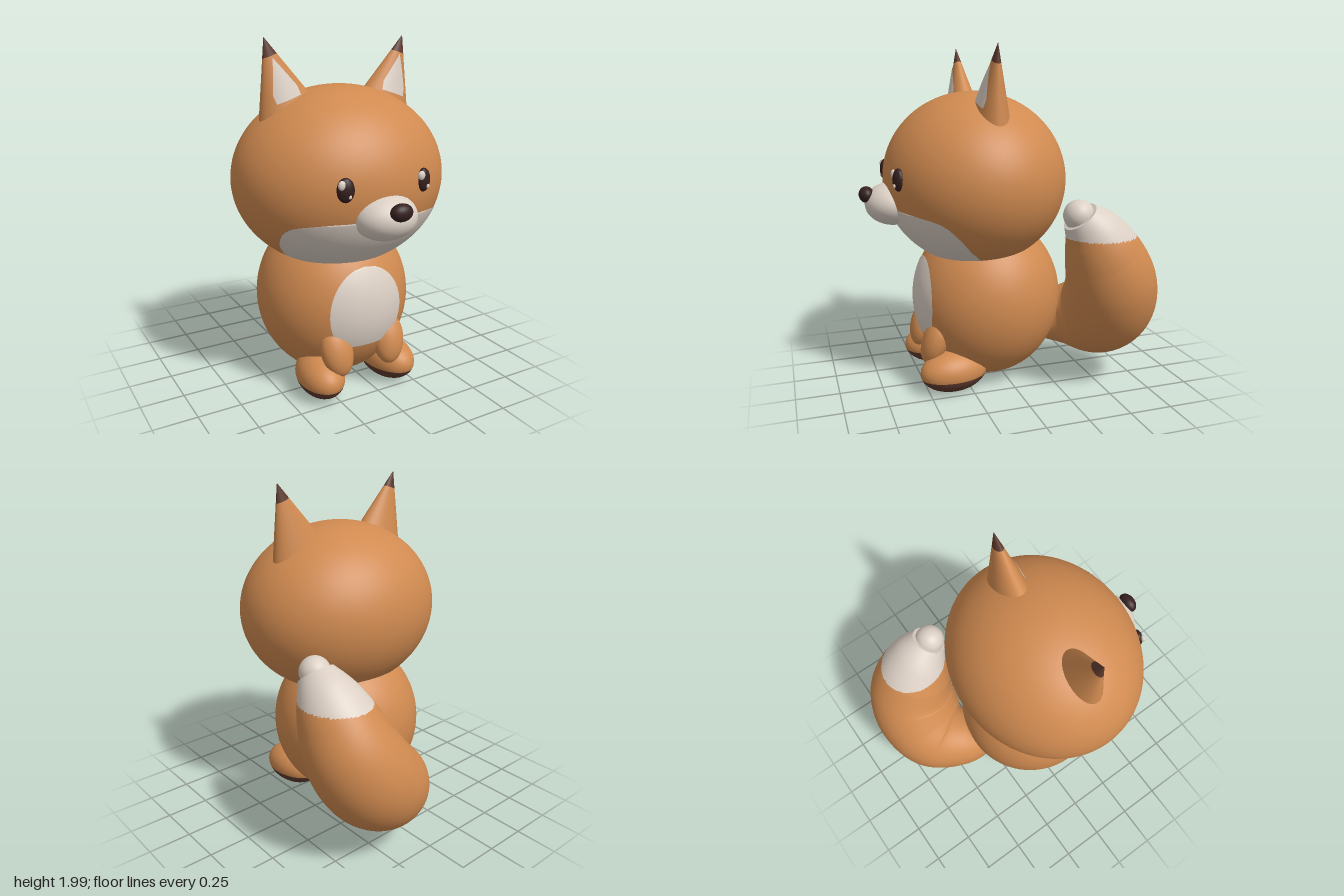
import * as THREE from 'three';
import { mergeVertices } from 'three/addons/utils/BufferGeometryUtils.js';

const V = (x, y, z) => new THREE.Vector3(x, y, z);
const MID = -0.075; // symmetry line of head and body

function makeMaterial(name, color) {
  const m = new THREE.MeshStandardMaterial({ color });
  m.name = name;
  return m;
}

// Rows of points across a front-facing surface: v runs upwards, half width w(v), depth z(x, v)
function patch(v0, v1, rows, cols, w, z) {
  const pos = [], idx = [];
  for (let i = 0; i <= rows; i++) {
    const v = v0 + (v1 - v0) * i / rows;
    for (let j = 0; j <= cols; j++) {
      const x = w(v) * (2 * j / cols - 1);
      pos.push(x, v, z(x, v));
      if (i < rows && j < cols) {
        const a = i * (cols + 1) + j, b = a + cols + 1;
        idx.push(a, a + 1, b, a + 1, b + 1, b);
      }
    }
  }
  const g = new THREE.BufferGeometry();
  g.setAttribute('position', new THREE.Float32BufferAttribute(pos, 3));
  g.setIndex(idx);
  g.computeVertexNormals();
  return g;
}

// Front surface of an ellipsoid centred on the origin
const shell = (rx, ry, rz) => (x, y) =>
  rz * Math.sqrt(Math.max(0, 1 - (x / rx) ** 2 - (y / ry) ** 2)) + 0.004;

export function createModel() {
  const fox = new THREE.Group();
  fox.name = 'fox';
  const orange = makeMaterial('orange fur', 0xd08a50);
  const cream = makeMaterial('cream fur', 0xdcd0c5);
  const brown = makeMaterial('dark brown', 0x5e3a2e);
  const black = makeMaterial('eye and nose', 0x35201f);

  function add(name, geo, mat, p, parent = fox) {
    const m = new THREE.Mesh(geo, mat);
    m.name = name;
    m.position.copy(p);
    parent.add(m);
    return m;
  }
  function ball(name, mat, p, r, parent = fox, seg = 32, t0 = 0, t1 = Math.PI) {
    const g = new THREE.SphereGeometry(1, seg, Math.round(seg * 0.75), 0, Math.PI * 2, t0, t1);
    g.scale(r[0], r[1], r[2]);
    return add(name, g, mat, p, parent);
  }

  // Body and head
  const bodyAt = V(MID, 0.51, 0.08), bodyR = [0.452, 0.492, 0.45];
  const headAt = V(MID, 1.235, 0.155), headR = [0.616, 0.51, 0.535];
  ball('body', orange, bodyAt, bodyR, fox, 80);
  ball('head', orange, headAt, headR, fox, 80);

  // Belly patch: oval with a flat lower edge
  add('belly', patch(-0.19, 0.265, 40, 32,
    (y) => 0.228 * Math.sqrt(Math.max(0, 1 - ((y - 0.005) / 0.26) ** 2)),
    shell(...bodyR)), cream, bodyAt);

  // Cheek mask: wide band with rounded upper corners
  const cheek = new THREE.SplineCurve([[0.26, 0.74], [0.335, 0.81], [0.388, 0.85], [0.432, 0.9],
    [0.462, 0.95], [0.474, 1.0], [0.468, 1.04], [0.43, 1.07], [0.32, 1.089], [0.15, 1.096]]
    .map(([x, y]) => new THREE.Vector2(x, y - headAt.y))).getPoints(120);
  const cheekWidth = (y) => {
    const k = cheek.findIndex((p) => p.y >= y);
    return cheek[k < 0 ? cheek.length - 1 : k].x;
  };
  add('cheeks', patch(0.74 - headAt.y, 1.096 - headAt.y, 60, 48, cheekWidth, shell(...headR)), cream, headAt);

  // Muzzle and nose
  ball('muzzle', cream, V(MID, 1.108, 0.64), [0.178, 0.125, 0.163]);
  ball('nose', black, V(MID, 1.165, 0.792), [0.063, 0.047, 0.043]);

  for (const s of [-1, 1]) {
    const side = s < 0 ? 'right' : 'left';

    // Eye with two highlights
    const ex = MID + s * 0.236;
    const eye = ball(side + 'Eye', black, V(ex, 1.275, 0.645), [0.046, 0.064, 0.03]);
    eye.rotation.y = s * 0.3;
    ball(side + 'EyeHighlight', cream, V(ex - 0.028, 1.305, s < 0 ? 0.658 : 0.668), [0.021, 0.025, 0.014], fox, 16);
    ball(side + 'EyeGlint', cream, V(ex + 0.012, 1.245, 0.67), [0.01, 0.012, 0.008], fox, 12);

    // Ear: flattened cone, apex at the group origin, leaning outwards
    const ear = new THREE.Group();
    ear.name = side + 'Ear';
    ear.position.set(MID + s * 0.432, 2, 0.14);
    ear.rotation.z = -s * 0.32;
    fox.add(ear);
    const wide = 0.42, deep = 0.24;
    const slice = (name, a, b, mat) => {
      const g = new THREE.CylinderGeometry(a, b, b - a, 48, 1, true);
      g.scale(wide, 1, deep);
      add(name, g, mat, V(0, -(a + b) / 2, 0), ear);
    };
    slice('earTip', 0, 0.1, brown);
    slice('earBase', 0.1, 0.5, orange);
    add('innerEar', patch(-0.335, -0.11, 24, 16,
      (y) => Math.min(0.074, (-y - 0.11) * 0.42),
      (x, y) => -y * deep * Math.sqrt(1 - (x / (y * wide)) ** 2) + 0.005), cream, V(0, 0, 0), ear);

    // Front paw resting on the belly
    const arm = ball(side + 'Arm', orange, V(MID + s * 0.172, 0.297, 0.448), [0.094, 0.146, 0.075]);
    arm.rotation.set(-0.3, 0, -s * 0.13);

    // Foot with a dark sole
    const foot = new THREE.Group();
    foot.name = side + 'Foot';
    foot.position.set(MID + s * 0.228, 0.128, 0.35);
    foot.rotation.y = s * 0.12;
    fox.add(foot);
    const cut = 1.8, footR = [0.132, 0.122, 0.202];
    ball('footTop', orange, V(0, 0, 0), footR, foot, 40, 0, cut);
    ball('sole', brown, V(0, 0, 0), footR, foot, 40, cut, Math.PI - cut);
  }

  // Tail: a tube with varying radius, sweeping back and curling upwards
  const path = [
    [-0.03, 0.33, -0.22, 0.12], [0.03, 0.35, -0.4, 0.19], [0.16, 0.395, -0.53, 0.255],
    [0.3, 0.5, -0.56, 0.275], [0.4, 0.66, -0.53, 0.265], [0.44, 0.84, -0.455, 0.225],
    [0.455, 0.97, -0.38, 0.172], [0.46, 1.07, -0.3, 0.105]];
  const curve = new THREE.CatmullRomCurve3(path.map((p) => V(p[0], p[1], p[2])));
  const radius = new THREE.CatmullRomCurve3(path.map((p) => V(p[3], 0, 0)), false, 'catmullrom');
  const N = 200, M = 64;
  let tail = new THREE.TubeGeometry(curve, N, 1, M);
  const tp = tail.attributes.position, v = V(0, 0, 0);
  for (let i = 0; i < tp.count; i++) {
    const u = Math.floor(i / (M + 1)) / N, c = curve.getPointAt(u);
    const r = radius.getPoint(curve.getUtoTmapping(u)).x;
    v.fromBufferAttribute(tp, i).sub(c).multiplyScalar(r).add(c);
    tp.setXYZ(i, v.x, v.y, v.z);
  }
  tail.deleteAttribute('uv');
  tail.deleteAttribute('normal');
  tail = mergeVertices(tail, 1e-5);
  tail.computeVertexNormals();

  // Faces above the colour line become the cream tail end
  const ix = tail.index.array, low = [], high = [];
  for (let i = 0; i < ix.length; i += 3) {
    const f = [ix[i], ix[i + 1], ix[i + 2]];
    const y = f.reduce((sum, k) => sum + tail.attributes.position.getY(k), 0) / 3;
    (y > 0.95 ? high : low).push(...f);
  }
  tail.setIndex([...low, ...high]);
  tail.addGroup(0, low.length, 0);
  tail.addGroup(low.length, high.length, 1);
  add('tail', tail, [orange, cream], V(0, 0, 0));

  // Closed tail end and its round tip
  const end = curve.getPointAt(1);
  const cap = add('tailEnd', new THREE.CircleGeometry(0.105, M), cream, end);
  cap.lookAt(end.clone().add(curve.getTangentAt(1)));
  ball('tailTip', cream, V(0.46, 1.078, -0.293), [0.087, 0.087, 0.087]);

  return fox;
}
